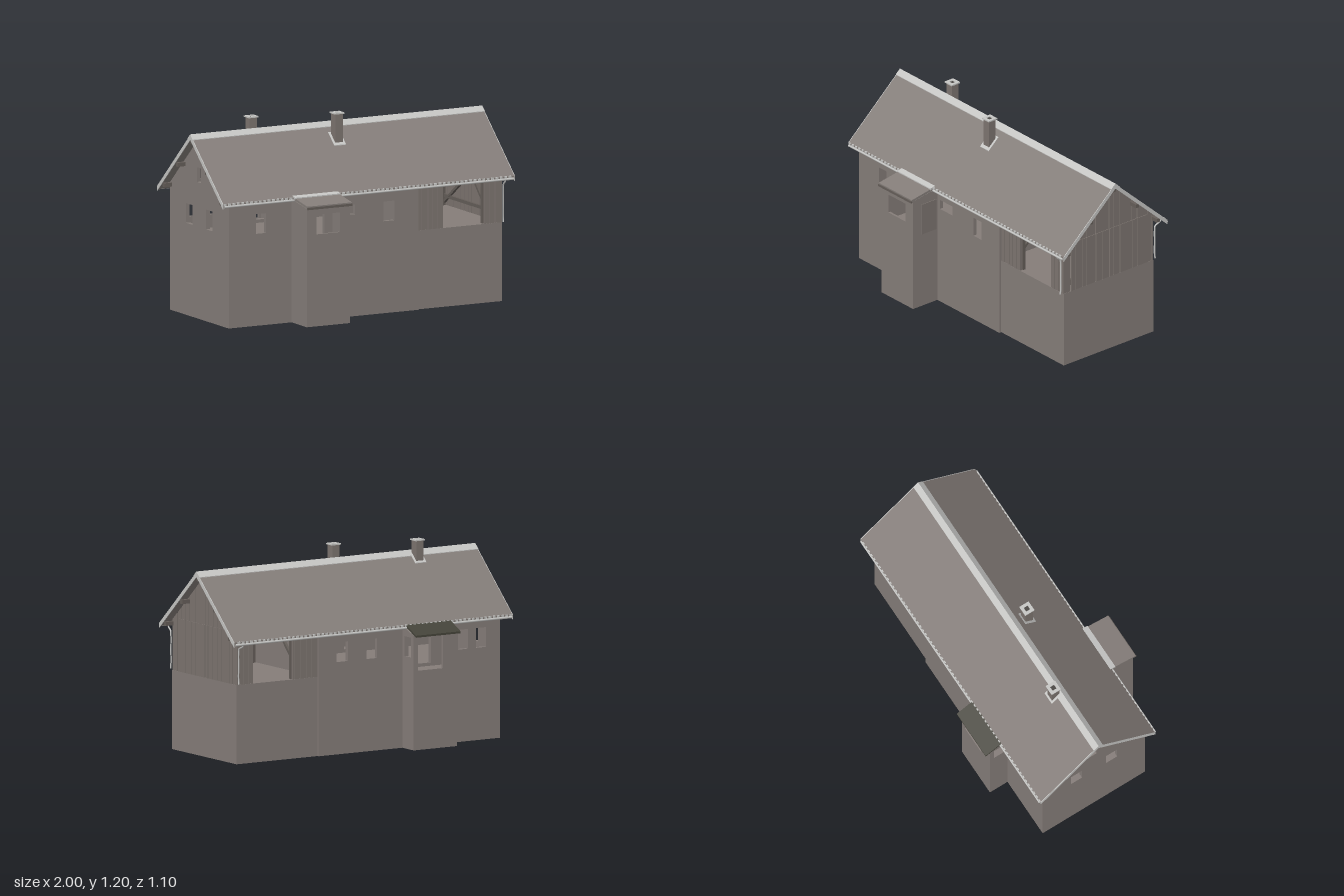
import * as THREE from 'three';
import { mergeGeometries } from 'three/addons/utils/BufferGeometryUtils.js';

const mat = (name, color, side = THREE.FrontSide) => {
  const m = new THREE.MeshStandardMaterial({ color, side });
  m.name = name;
  return m;
};

export function createModel() {
  const house = new THREE.Group();
  house.name = 'farmhouse';
  const plaster = mat('plaster', 0x857d79, THREE.DoubleSide);
  const roofing = mat('roofing', 0x857e7a);
  const timber = mat('timber', 0x7d7570);
  const beamWood = mat('beam wood', 0x655e59);
  const metal = mat('light metal', 0xc6c6c4);
  const olive = mat('olive roofing', 0x45443a);
  const soot = mat('soot', 0x4a4744);

  const add = (name, geo, material) => {
    const m = new THREE.Mesh(geo, material);
    m.name = name;
    house.add(m);
  };
  // Box between two corners, non-indexed so it merges with extrusions
  const box = (x0, x1, y0, y1, z0, z1) =>
    new THREE.BoxGeometry(x1 - x0, y1 - y0, z1 - z0).toNonIndexed()
      .translate((x0 + x1) / 2, (y0 + y1) / 2, (z0 + z1) / 2);
  const polygon = (pts) => new THREE.Shape(pts.map(([a, b]) => new THREE.Vector2(a, b)));
  const withHoles = (pts, holes) => {
    const s = polygon(pts);
    for (const [a0, a1, b0, b1] of holes) s.holes.push(polygon([[a0, b0], [a0, b1], [a1, b1], [a1, b0]]));
    return s;
  };
  const extrude = (shape, depth) => new THREE.ExtrudeGeometry(shape, { depth, bevelEnabled: false });
  // Wall facing front or back: outline in x, y
  const wallXY = (pts, holes, z0, z1) => extrude(withHoles(pts, holes), z1 - z0).translate(0, 0, z0);
  // Wall facing sideways: outline in z, y
  const wallZY = (pts, holes, x0, x1) =>
    extrude(withHoles(pts.map(([z, y]) => [-z, y]), holes.map(([a, b, c, d]) => [-b, -a, c, d])), x1 - x0)
      .rotateY(Math.PI / 2).translate(x0, 0, 0);
  const rect = (a0, a1, b0, b1) => [[a0, b0], [a1, b0], [a1, b1], [a0, b1]];
  // Square beam between two points
  const beam = (a, b, size) => {
    const p = new THREE.Vector3(...a), q = new THREE.Vector3(...b);
    const rot = new THREE.Quaternion().setFromUnitVectors(new THREE.Vector3(0, 1, 0), q.clone().sub(p).normalize());
    return new THREE.BoxGeometry(size, p.distanceTo(q), size).toNonIndexed().applyQuaternion(rot)
      .translate((a[0] + b[0]) / 2, (a[1] + b[1]) / 2, (a[2] + b[2]) / 2);
  };
  let seed = 7;
  const rand = () => {
    seed = (seed * 16807) % 2147483647;
    return seed / 2147483647;
  };

  const base = 0.48, ridgeZ = -0.03, ridgeY = 1.125;
  const frontEave = [0.375, 0.765], backEave = [-0.44, 0.75];
  const roofY = (z) => z > ridgeZ
    ? ridgeY - (z - ridgeZ) * (ridgeY - frontEave[1]) / (frontEave[0] - ridgeZ)
    : ridgeY - (ridgeZ - z) * (ridgeY - backEave[1]) / (ridgeZ - backEave[0]);

  // Tall base: open underneath, covered by the floor
  const plan = [[-0.94, 0.34], [-0.51, 0.34], [-0.51, 0.53], [-0.215, 0.53], [-0.215, 0.34], [0.36, 0.34],
    [0.36, 0.325], [0.94, 0.325], [0.94, -0.378], [0.36, -0.378], [0.36, -0.39], [-0.24, -0.39],
    [-0.24, -0.515], [-0.55, -0.515], [-0.55, -0.39], [-0.94, -0.39]];
  const sides = plan.map(([x, z], i) => {
    const [x2, z2] = plan[(i + 1) % plan.length];
    return new THREE.PlaneGeometry(Math.hypot(x2 - x, z2 - z), base)
      .rotateY(Math.atan2(z - z2, x2 - x)).translate((x + x2) / 2, base / 2, (z + z2) / 2);
  });
  add('base walls', mergeGeometries(sides), plaster);
  add('floor', new THREE.ShapeGeometry(polygon(plan.map(([x, z]) => [x, -z])))
    .rotateX(-Math.PI / 2).translate(0, base, 0), plaster);

  // Dwelling walls with window openings
  add('front wall', wallXY(rect(-0.94, 0.36, base, 0.785), [[-0.755, -0.685, 0.56, 0.68],
    [-0.445, -0.285, 0.5, 0.68], [-0.19, -0.075, 0.62, 0.68], [0.12, 0.195, 0.56, 0.68]], 0.315, 0.34), plaster);
  add('back wall', wallXY(rect(-0.94, 0.36, base, 0.785), [[-0.84, -0.77, 0.56, 0.68],
    [-0.71, -0.64, 0.56, 0.68], [-0.445, -0.285, 0.5, 0.68], [-0.06, 0.015, 0.56, 0.68],
    [0.15, 0.23, 0.56, 0.68]], -0.39, -0.365), plaster);
  const gable = [[0.34, base], [0.34, 0.775], [ridgeZ, 1.1], [-0.39, 0.775], [-0.39, base]];
  add('right gable wall', wallZY(gable, [[-0.19, -0.11, 0.56, 0.68], [0.06, 0.14, 0.56, 0.68],
    [-0.055, -0.005, 0.83, 0.92]], -0.94, -0.915), plaster);
  add('partition wall', wallZY(gable, [], 0.335, 0.36), plaster);

  // Front porch
  const fp = [[0.34, base], [0.53, base], [0.53, 0.72], [0.34, 0.75]];
  add('front porch wall', wallXY(rect(-0.51, -0.215, base, 0.72), [[-0.445, -0.285, 0.56, 0.68]], 0.515, 0.53), plaster);
  for (const x of [-0.51, -0.23]) add('front porch side', wallZY(fp, [], x, x + 0.015), plaster);
  add('front porch door', box(-0.215, -0.211, base, 0.68, 0.35, 0.465), timber);
  add('front porch roof', wallZY([[0.545, 0.722], [0.545, 0.737], [0.34, 0.772], [0.34, 0.757]], [], -0.515, -0.21), roofing);
  add('front porch gutter', box(-0.515, -0.21, 0.716, 0.73, 0.538, 0.55), beamWood);
  add('front porch flashing', wallZY([[0.4, 0.757], [0.4, 0.768], [0.35, 0.778], [0.35, 0.765]], [], -0.517, -0.208), metal);

  // Back porch
  const bp = [[-0.39, base], [-0.39, 0.745], [-0.515, 0.693], [-0.515, base]];
  for (const x of [-0.55, -0.255])
    add('back porch side', wallZY(bp, [[-0.485, -0.415, 0.56, 0.68]], x, x + 0.015), plaster);
  add('back porch wall', wallXY(rect(-0.55, -0.24, base, 0.695), [[-0.45, -0.27, 0.481, 0.68]], -0.515, -0.5), plaster);
  add('back porch roof', wallZY([[-0.39, 0.76], [-0.39, 0.775], [-0.548, 0.7], [-0.548, 0.688]], [], -0.555, -0.235), olive);

  // Barn front and back: planks beside a wide opening
  const planks = [];
  for (const z of [0.31, -0.376]) {
    for (const [x0, x1] of [[0.36, 0.535], [0.82, 0.94]]) {
      for (let x = x0; x < x1 - 0.005;) {
        const end = Math.min(x1, x + 0.028 + rand() * 0.02);
        planks.push(box(x, end - (end < x1 ? 0.004 : 0), base, 0.785, z, z + 0.014));
        x = end;
      }
    }
    planks.push(box(0.535, 0.82, 0.73, 0.785, z, z + 0.014));
  }
  // Barn gable: vertical boards cut to the roof slope, gate leaves below
  const board = (z0, z1, y0, y1, x) => {
    const top = (z) => Math.min(y1, roofY(z) - 0.02);
    const pts = [[z0, y0], [z1, y0], [z1, top(z1)]];
    if (z0 < ridgeZ && z1 > ridgeZ && y1 > 1.05) pts.push([ridgeZ, top(ridgeZ)]);
    planks.push(wallZY([...pts, [z0, top(z0)]], [], x, x + 0.012));
  };
  for (let z = -0.33; z < 0.26;) {
    const end = Math.min(0.27, z + 0.025 + rand() * 0.03);
    const gap = rand() < 0.5 ? 0.007 : 0.003;
    board(z, end - gap, base, 0.8, 0.928);
    board(z, end - (rand() < 0.4 ? 0.006 : 0.0015), 0.8, 2, 0.924);
    z = end;
  }
  board(-0.378, -0.334, base, 2, 0.926);
  board(0.274, 0.325, base, 2, 0.926);
  add('barn boards', mergeGeometries(planks), timber);

  // Timber frame inside the barn
  const frame = [];
  for (const x of [0.38, 0.53, 0.825, 0.91])
    for (const z of [0.295, -0.35]) frame.push(box(x - 0.01, x + 0.01, base, 0.78, z - 0.01, z + 0.01));
  for (const z of [0.295, -0.35]) frame.push(box(0.36, 0.92, 0.745, 0.77, z - 0.012, z + 0.012));
  for (const y of [0.54, 0.73]) frame.push(box(0.908, 0.924, y - 0.01, y + 0.01, -0.36, 0.3));
  frame.push(beam([0.915, 0.5, 0.29], [0.915, 0.72, -0.02], 0.016), beam([0.915, 0.5, -0.35], [0.915, 0.72, -0.04], 0.016));
  for (const x of [0.53, 0.825]) {
    frame.push(box(x - 0.01, x + 0.01, 0.745, 0.77, -0.36, 0.3));
    for (const [z, d] of [[0.295, -1], [-0.35, 1]])
      frame.push(beam([x, 0.62, z], [x, 0.75, z + d * 0.13], 0.016));
  }
  // Purlins carrying the roof overhang
  for (const z of [0.325, 0.15, ridgeZ, -0.21, -0.375]) {
    const y = roofY(z) - 0.045;
    for (const x of [-0.99, 0.93]) frame.push(box(x, x + 0.06, y - 0.012, y + 0.012, z - 0.012, z + 0.012));
  }
  add('timber frame', mergeGeometries(frame), beamWood);

  // Main roof with light verges and ridge cap
  const chevron = (f, b, lift, thick) => [[f, roofY(f) + lift], [ridgeZ, ridgeY + lift], [b, roofY(b) + lift],
    [b, roofY(b) + lift - thick], [ridgeZ, ridgeY + lift - thick], [f, roofY(f) + lift - thick]];
  add('main roof', wallZY(chevron(frontEave[0], backEave[0], 0, 0.022), [], -0.996, 0.996), roofing);
  for (const x of [-1, 0.996])
    add('verge', wallZY(chevron(frontEave[0], backEave[0], 0, 0.03), [], x, x + 0.004), metal);
  add('ridge cap', wallZY(chevron(ridgeZ + 0.032, ridgeZ - 0.034, 0.004, 0.01), [], -1, 1), metal);

  // Eave gutters with hooks, and downpipes at the barn corners
  const gutters = [], hooks = [];
  for (const [z, y, s] of [[...frontEave, 1], [...backEave, -1]]) {
    gutters.push(new THREE.CylinderGeometry(0.007, 0.007, 1.98, 8).rotateZ(Math.PI / 2).translate(0, y - 0.016, z + s * 0.003));
    for (let x = -0.985; x < 0.99; x += 0.03)
      hooks.push(box(x - 0.008, x + 0.008, y - 0.012, y + 0.003, z - 0.004, z + 0.005));
    const wall = s > 0 ? 0.345 : -0.392;
    const path = new THREE.CatmullRomCurve3([[z, y - 0.015], [z - s * 0.004, y - 0.03], [wall + s * 0.004, y - 0.05],
      [wall, y - 0.075], [wall, 0.6], [wall, 0.51], [wall + s * 0.004, 0.485]].map(([a, b]) => new THREE.Vector3(0.935, b, a)));
    gutters.push(new THREE.TubeGeometry(path, 30, 0.005, 6));
  }
  add('gutters and downpipes', mergeGeometries(gutters), metal);
  add('gutter hooks', mergeGeometries(hooks), metal);

  // Chimneys with metal cap and flashing
  for (const [x, z, low] of [[-0.56, -0.07, 1.04], [-0.05, 0.07, 1.0]]) {
    add('chimney', box(x - 0.026, x + 0.026, low, 1.188, z - 0.026, z + 0.026), timber);
    const ring = withHoles(rect(-0.033, 0.033, -0.033, 0.033), [[-0.014, 0.014, -0.014, 0.014]]);
    add('chimney cap', extrude(ring, 0.008).rotateX(-Math.PI / 2).translate(x, 1.189, z), metal);
    add('flue', box(x - 0.014, x + 0.014, 1.186, 1.192, z - 0.014, z + 0.014), soot);
    const z0 = z - 0.036, z1 = z + 0.04;
    add('chimney flashing', wallZY([[z0, roofY(z0) - 0.003], [z1, roofY(z1) - 0.003], [z1, roofY(z1) + 0.004],
      [z0, roofY(z0) + 0.004]], [], x - 0.04, x + 0.04), metal);
  }
  return house;
}
